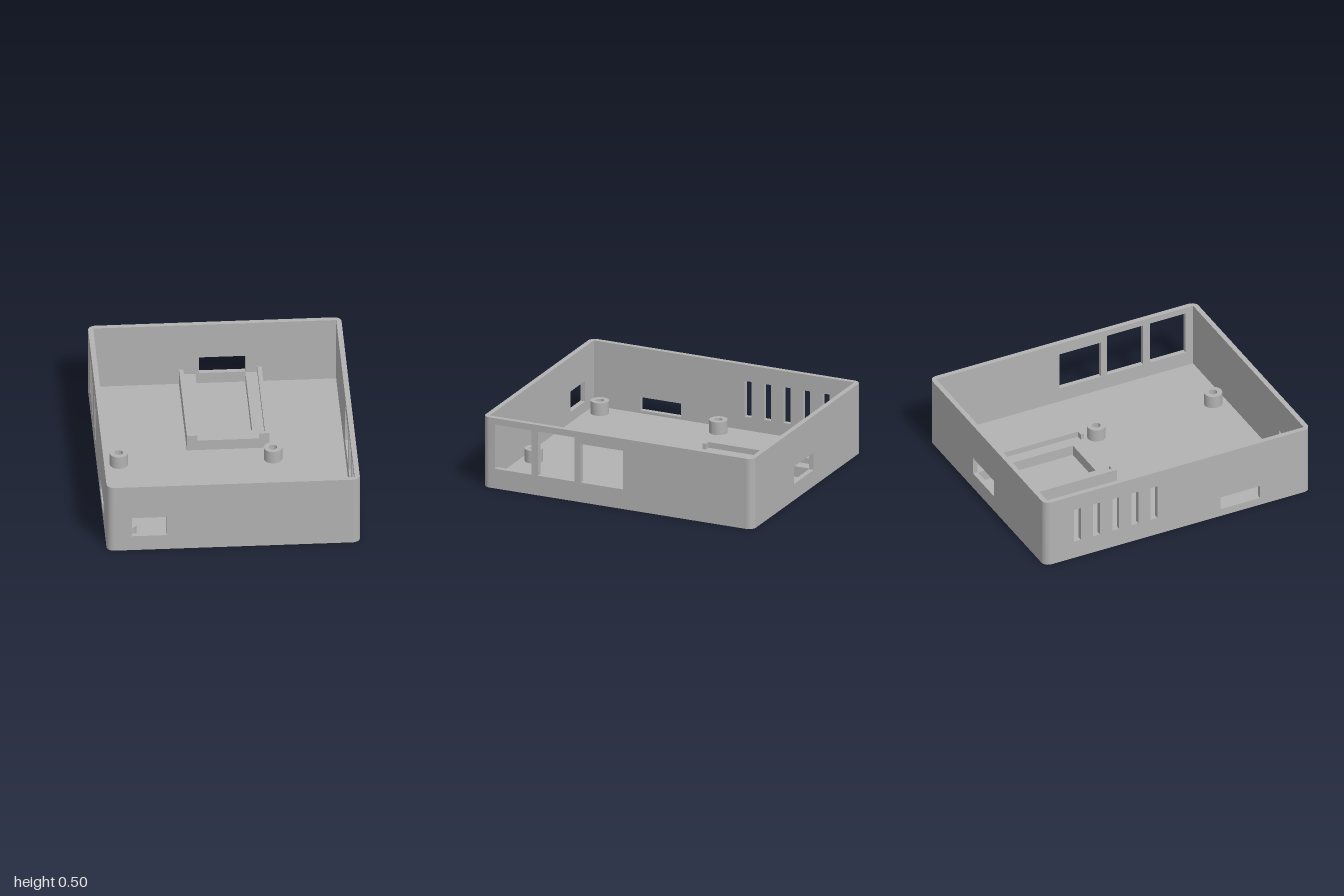
import * as THREE from 'three';
import { toCreasedNormals } from 'three/addons/utils/BufferGeometryUtils.js';

const W = 0.85, D = 1, H = 0.5; // half width, half depth, height
const T = 0.035, R = 0.05; // wall thickness, outer corner radius

const plastic = new THREE.MeshStandardMaterial({ color: 0xb2b2b2 });
plastic.name = 'grey plastic';

// Closed outline from [x, y] points
function outline(points, Type = THREE.Shape) {
  return new Type(points.map(([x, y]) => new THREE.Vector2(x, y)));
}

function rect(x0, y0, x1, y1, Type) {
  return outline([[x0, y0], [x1, y0], [x1, y1], [x0, y1]], Type);
}

function circle(x, y, r, Type = THREE.Path) {
  const c = new Type();
  c.absarc(x, y, r, 0, Math.PI * 2, false);
  return c;
}

function extrude(shape, depth) {
  const g = new THREE.ExtrudeGeometry(shape, { depth, bevelEnabled: false, curveSegments: 16 });
  return toCreasedNormals(g, 0.6);
}

export function createModel() {
  const model = new THREE.Group();
  model.name = 'enclosureBase';

  function add(name, geometry) {
    const mesh = new THREE.Mesh(geometry, plastic);
    mesh.name = name;
    model.add(mesh);
    return mesh;
  }

  // Plan outline (x, z) raised from y0 to y1
  function addPlan(name, shape, y0, y1) {
    return add(name, extrude(shape, y1 - y0).rotateX(Math.PI / 2).translate(0, y1, 0));
  }

  // Upright wall with rectangular openings [u0, y0, u1, y1]
  function wallGeometry(half, openings) {
    const shape = rect(-half, 0, half, H);
    for (const o of openings) shape.holes.push(rect(...o, THREE.Path));
    return extrude(shape, T);
  }

  // Front and back walls
  add('frontWall', wallGeometry(W - R, [[-0.68, 0.11, -0.45, 0.255]])).position.z = D - T;
  add('backWall', wallGeometry(W - R, [[-0.105, 0.115, 0.205, 0.24]])).position.z = -D;

  // Left wall with three large port windows
  const ports = [[0.64, 0.14, 0.91, 0.455], [0.32, 0.14, 0.59, 0.455], [-0.04, 0.14, 0.275, 0.415]];
  add('leftWall', wallGeometry(D - R, ports).rotateY(-Math.PI / 2)).position.x = W;

  // Right wall with five vents and a low slot
  const vents = [[0.32, 0.055, 0.62, 0.15]];
  for (let i = 0; i < 5; i++) {
    const z = -0.78 + i * 0.144;
    vents.push([z, 0.13, z + 0.052, 0.385]);
  }
  add('rightWall', wallGeometry(D - R, vents).rotateY(-Math.PI / 2)).position.x = -W + T;

  // Corner posts: round outside, square inside
  const corner = new THREE.Shape();
  corner.absarc(0, 0, R, 0, Math.PI / 2, false);
  for (const [x, z] of [[0, R - T], [R - T, R - T], [R - T, 0]]) corner.lineTo(x, z);
  [[1, 1], [1, -1], [-1, -1], [-1, 1]].forEach(([sx, sz], i) => {
    const post = addPlan('corner', corner, 0, H);
    post.position.set(sx * (W - R), 0, sz * (D - R));
    post.rotation.y = i * Math.PI / 2;
  });

  // Floor with screw holes, and a standoff over each
  const floor = rect(-W + T, -D + T, W - T, D - T);
  for (const x of [-0.705, 0.33]) {
    for (const z of [-0.01, 0.868]) {
      floor.holes.push(circle(x, z, 0.038));
      const ring = circle(x, z, 0.062, THREE.Shape);
      ring.holes.push(circle(x, z, 0.028));
      addPlan('standoff', ring, T, 0.125);
    }
  }
  addPlan('floor', floor, 0, T);

  // U-shaped tray ledge against the back wall
  const back = -D + T, ledgeTop = 0.11;
  addPlan('trayLedge', outline([
    [-0.24, back], [-0.13, back], [-0.13, -0.25], [0.205, -0.25],
    [0.205, back], [0.315, back], [0.315, -0.145], [-0.24, -0.145],
  ]), T, ledgeTop);

  // Tray rails, each hooked inward at its front end
  for (const s of [-1, 1]) {
    const cx = 0.0375;
    addPlan('trayRail', outline([
      [0.2775, back], [0.2475, back], [0.2475, -0.17],
      [0.2075, -0.17], [0.2075, -0.145], [0.2775, -0.145],
    ].map(([x, z]) => [cx + s * x, z])), ledgeTop, 0.15);
  }

  return model;
}
